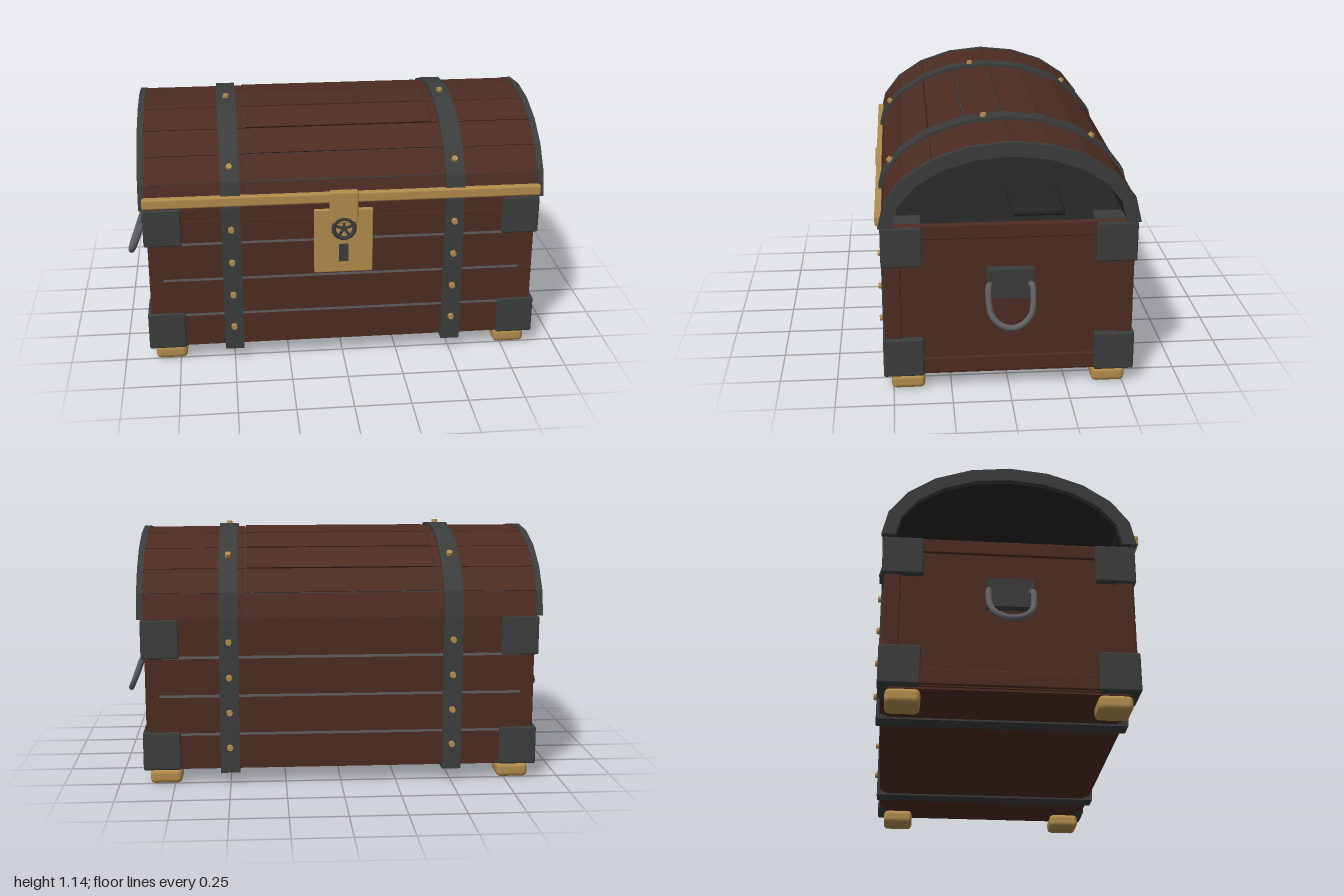
import * as THREE from 'three';
import { RoundedBoxGeometry } from 'three/addons/geometries/RoundedBoxGeometry.js';

const mat = (name, color) => {
  const m = new THREE.MeshStandardMaterial({ color });
  m.name = name;
  return m;
};

export function createModel() {
  const wood = mat('wood', 0x4d2c22);
  const iron = mat('iron', 0x3b3c3c);
  const steel = mat('steel', 0x606063);
  const brass = mat('brass', 0xb28c4c);
  const dark = mat('dark lining', 0x242424);

  const chest = new THREE.Group();
  chest.name = 'chest';
  const add = (name, geo, material, parent = chest) => {
    const mesh = new THREE.Mesh(geo, material);
    mesh.name = name;
    parent.add(mesh);
    return mesh;
  };
  // Box given by its lower and upper corner
  const box = (name, material, x0, x1, y0, y1, z0, z1, r = 0) => {
    const size = [x1 - x0, y1 - y0, z1 - z0];
    const geo = r ? new RoundedBoxGeometry(...size, 2, r) : new THREE.BoxGeometry(...size);
    const mesh = add(name, geo, material);
    mesh.position.set((x0 + x1) / 2, (y0 + y1) / 2, (z0 + z1) / 2);
    return mesh;
  };

  // Point on the ten-sided lid arch, d outside its nominal profile
  const STEPS = 10, BASE = 0.76;
  const arch = (i, d) => {
    const t = (i / STEPS) * Math.PI;
    return new THREE.Vector2((0.55 + d) * Math.cos(t), BASE + (0.36 + d) * Math.sin(t));
  };
  // Piece of the arch between two steps, extruded along x
  const archBand = (name, material, x0, x1, inner, outer, from = 0, to = STEPS, gap = 0) => {
    const pts = [];
    for (let i = from; i <= to; i++) {
      const s = i === from ? i + gap : i === to ? i - gap : i;
      pts.push([arch(s, outer), arch(s, inner)]);
    }
    const shape = new THREE.Shape([...pts.map(p => p[0]), ...pts.map(p => p[1]).reverse()]);
    const geo = new THREE.ExtrudeGeometry(shape, { depth: x1 - x0, bevelEnabled: false });
    geo.rotateY(Math.PI / 2).translate(x0, 0, 0);
    return add(name, geo, material);
  };
  // Round rivet at a point, its axis along the direction (0, ny, nz)
  const rivet = (x, y, z, ny, nz) => {
    const m = add('rivet', new THREE.CylinderGeometry(0.013, 0.017, 0.03, 10), brass);
    m.position.set(x, y, z);
    m.quaternion.setFromUnitVectors(new THREE.Vector3(0, 1, 0), new THREE.Vector3(0, ny, nz).normalize());
  };

  // Body core and its dark inside
  box('bodyCore', wood, -0.86, 0.86, 0.075, 0.735, -0.522, 0.522);
  box('innerFloor', dark, -0.84, 0.84, 0.735, 0.742, -0.5, 0.5);
  box('innerBundle', dark, 0.45, 0.75, 0.742, 0.775, -0.25, -0.02, 0.014);

  // Front and back planks with grey seams
  const seams = [0.075, 0.235, 0.41, 0.585, 0.7, 0.757];
  for (const s of [-1, 1]) {
    for (let i = 0; i < seams.length - 1; i++) {
      const plank = box('bodyPlank', wood, -0.868, 0.868, seams[i] + 0.006, seams[i + 1] - 0.006, 0.5, 0.532);
      plank.position.z *= s;
      if (i > 0 && i < 4) {
        const w = i === 2 ? 0.81 : 0.865;
        box('seam', steel, -w, w, seams[i] - 0.007, seams[i] + 0.007, s * 0.5265 - 0.0045, s * 0.5265 + 0.0045);
      }
    }
    box('topRim', wood, -0.868, 0.868, 0.73, 0.76, s * 0.515 - 0.015, s * 0.515 + 0.015);
  }

  // End frames: rails and corner posts around the panel
  for (const s of [-1, 1]) {
    const x0 = s > 0 ? 0.84 : -0.872, x1 = s > 0 ? 0.872 : -0.84;
    box('lowerRail', wood, x0, x1, 0.08, 0.15, -0.53, 0.53, 0.006);
    box('upperRail', wood, x0, x1, 0.695, 0.76, -0.53, 0.53, 0.006);
    for (const t of [-1, 1]) {
      box('cornerPost', wood, x0, x1, 0.08, 0.755, t * 0.495 - 0.035, t * 0.495 + 0.035, 0.008);
    }
  }
  box('bottomBoard', wood, -0.85, 0.85, 0.066, 0.08, -0.5, 0.5);

  // Iron corners and brass feet
  for (const sx of [-1, 1]) for (const sz of [-1, 1]) {
    for (const y of [0.16, 0.668]) {
      const c = box('cornerBracket', iron, 0.72, 0.888, y - 0.087, y + 0.087, 0.368, 0.542, 0.008);
      c.position.x *= sx;
      c.position.z *= sz;
    }
    const foot = box('foot', brass, 0.718, 0.862, 0, 0.066, 0.364, 0.51, 0.022);
    foot.position.x *= sx;
    foot.position.z *= sz;
  }

  // Lid: lining, shell, planks and iron end rims
  archBand('lidLining', dark, -0.87, 0.87, -0.055, -0.04);
  archBand('lidShell', iron, -0.865, 0.865, -0.04, -0.012);
  for (let i = 0; i < STEPS; i++) {
    archBand('lidPlankCentre', wood, -0.42, 0.42, -0.02, -0.001, i, i + 1, 0.025);
    for (const [x0, x1] of [[-0.872, -0.424], [0.424, 0.872]]) {
      archBand('lidPlankSide', wood, x0, x1, -0.02, -0.004, i, i + 1, 0.012);
    }
  }
  archBand('lidRim', iron, 0.872, 0.9, -0.06, 0);
  archBand('lidRim', iron, -0.9, -0.872, -0.06, 0);
  box('lidTrim', brass, -0.885, 0.885, 0.768, 0.815, 0.525, 0.561, 0.008);

  // Straps round the whole chest with their rivets
  for (const x of [-0.5, 0.5]) {
    archBand('lidStrap', iron, x - 0.043, x + 0.043, -0.01, 0.01);
    box('bottomStrap', iron, x - 0.043, x + 0.043, 0.058, 0.075, -0.546, 0.546);
    for (const s of [-1, 1]) {
      const strap = box('bodyStrap', iron, x - 0.043, x + 0.043, 0.06, 0.765, 0.52, 0.547);
      strap.position.z *= s;
      for (const y of [0.175, 0.335, 0.495, 0.655]) rivet(x, y, s * 0.546, 0, s);
    }
    rivet(x, 0.93, 0.492, 0.65, 0.75);
    rivet(x, 1.12, 0.083, 1, 0.1);
    rivet(x, 1.02, -0.39, 0.85, -0.55);
  }

  // Lock plate, hasp, ring with spokes and keyhole
  box('lockPlate', brass, -0.132, 0.132, 0.425, 0.732, 0.525, 0.548, 0.006);
  box('hasp', brass, -0.063, 0.063, 0.67, 0.822, 0.53, 0.566, 0.008);
  const hub = add('haspEnd', new THREE.CylinderGeometry(0.06, 0.06, 0.024, 20), brass);
  hub.rotation.x = Math.PI / 2;
  hub.position.set(0, 0.645, 0.546);
  add('lockRing', new THREE.TorusGeometry(0.047, 0.01, 8, 20), iron).position.set(0, 0.645, 0.559);
  for (let i = 0; i < 5; i++) {
    const a = Math.PI / 2 + (i * Math.PI * 2) / 5;
    const spoke = add('lockSpoke', new THREE.BoxGeometry(0.045, 0.012, 0.008), iron);
    spoke.position.set(0.023 * Math.cos(a), 0.645 + 0.023 * Math.sin(a), 0.56);
    spoke.rotation.z = a;
  }
  box('keyhole', iron, -0.022, 0.022, 0.48, 0.565, 0.544, 0.551);

  // Hanging handles on both ends
  for (const s of [-1, 1]) {
    const handle = new THREE.Group();
    handle.name = 'handle';
    chest.add(handle);
    const plate = add('handlePlate', new THREE.BoxGeometry(0.04, 0.132, 0.2), iron, handle);
    plate.position.set(0.882, 0.498, 0);
    const path = [[0.892, 0.497, 0.085], [0.917, 0.497, 0.093], [0.945, 0.435, 0.094]];
    for (let i = 1; i < 8; i++) {
      const t = (i / 8) * Math.PI;
      const drop = Math.sin(t) * 0.095;
      path.push([0.945 + drop * 0.43, 0.43 - drop, 0.094 * Math.cos(t)]);
    }
    path.push([0.945, 0.435, -0.094], [0.917, 0.497, -0.093], [0.892, 0.497, -0.085]);
    const curve = new THREE.CatmullRomCurve3(path.map(p => new THREE.Vector3(...p)));
    add('handleRing', new THREE.TubeGeometry(curve, 40, 0.0135, 8), steel, handle);
    if (s < 0) handle.rotation.y = Math.PI;
  }

  return chest;
}
